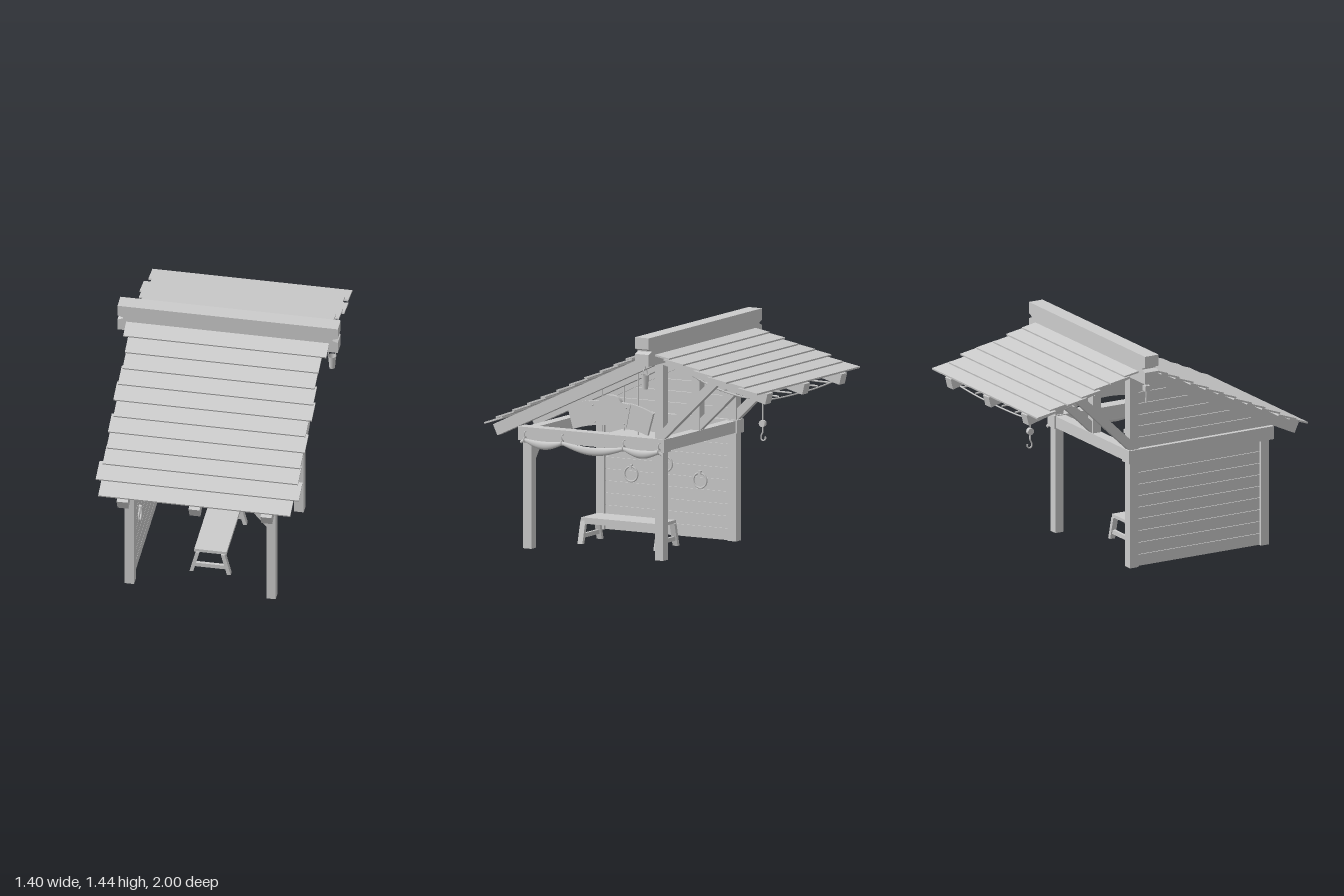
import * as THREE from 'three';

const material = new THREE.MeshStandardMaterial({ color: 0xcccccc, flatShading: true, side: THREE.DoubleSide });
const smooth = new THREE.MeshStandardMaterial({ color: 0xcccccc, side: THREE.DoubleSide });

export function createModel() {
  const model = new THREE.Group();

  const add = (name, geometry, x = 0, y = 0, z = 0, mat = material) => {
    const mesh = new THREE.Mesh(geometry, mat);
    mesh.name = name;
    mesh.position.set(x, y, z);
    model.add(mesh);
    return mesh;
  };
  // Box given by its minimum and maximum on each axis
  const box = (name, x0, x1, y0, y1, z0, z1) =>
    add(name, new THREE.BoxGeometry(x1 - x0, y1 - y0, z1 - z0), (x0 + x1) / 2, (y0 + y1) / 2, (z0 + z1) / 2);
  // Sloping timber in the z-y plane, from [z, y] to [z, y]
  const timber = (name, x, [z0, y0], [z1, y1], width, depth) => {
    const mesh = add(name, new THREE.BoxGeometry(width, depth, Math.hypot(z1 - z0, y1 - y0)), x, (y0 + y1) / 2, (z0 + z1) / 2);
    mesh.rotation.x = -Math.atan2(y1 - y0, z1 - z0);
  };
  const rope = (name, points, radius = 0.005, steps = 20) =>
    add(name, new THREE.TubeGeometry(new THREE.CatmullRomCurve3(points.map(p => new THREE.Vector3(...p))), steps, radius, 6), 0, 0, 0, smooth);
  // Outline of [z, y] points extruded along x
  const sidePanel = (name, shape, x, thickness) => {
    const geometry = new THREE.ExtrudeGeometry(shape, { depth: thickness, bevelEnabled: false, curveSegments: 10 });
    geometry.rotateY(-Math.PI / 2);
    return add(name, geometry, x + thickness / 2, 0, 0);
  };

  // Posts and side beams
  for (const side of [-1, 1]) {
    const x = side * 0.45;
    box('frontPost', x - 0.03, x + 0.03, 0, 0.7, 0.73, 0.79);
    box('backPost', x - 0.03, x + 0.03, 0, 1.28, -0.225, -0.165);
    box('sideBeam', x - 0.042, x + 0.042, 0.685, 0.77, -0.24, 0.82);
  }
  box('middlePost', -0.03, 0.03, 0.76, 1.28, -0.225, -0.165);
  box('frontCrossBeam', -0.45, 0.45, 0.69, 0.765, 0.725, 0.795);
  box('backCrossBeam', -0.45, 0.45, 0.69, 0.765, -0.23, -0.16);

  // Rafters and back braces
  for (const x of [-0.457, 0, 0.457]) {
    timber('frontRafter', x, [0.985, 0.735], [-0.19, 1.287], 0.07, 0.075);
    timber('backRafter', x, [-0.98, 1.085], [-0.21, 1.285], 0.07, 0.07);
    timber('backBrace', x, [-0.19, 0.77], [-0.6, 1.165], 0.045, 0.055);
  }

  // Corner brace on the front right post
  const brace = new THREE.Shape([[0.42, 0.545], [0.42, 0.61], [0.35, 0.69], [0.295, 0.69]].map(p => new THREE.Vector2(...p)));
  add('cornerBrace', new THREE.ExtrudeGeometry(brace, { depth: 0.045, bevelEnabled: false }), 0, 0, 0.74);

  // Overlapping roof boards
  const frontRoof = z => 0.77 + 0.47 * (1 - z);
  [0.61, 0.645, 0.62, 0.615, 0.625, 0.61, 0.63, 0.62, 0.61, 0.615, 0.645].forEach((half, i) => {
    const z = 0.995 - i * 0.1045, end = z - 0.132;
    timber('frontRoofBoard', 0, [z, frontRoof(z) + 0.021], [end, frontRoof(end) + 0.006], half * 2, 0.011);
  });
  const backRoof = z => 1.12 + 0.26 * (z + 0.99);
  [0.635, 0.61, 0.65, 0.635, 0.61, 0.63, 0.62].forEach((half, i) => {
    const z = -0.997 + i * 0.108, end = z + 0.14;
    timber('backRoofBoard', 0, [z, backRoof(z) + 0.018], [end, backRoof(end) + 0.005], half * 2, 0.011);
  });

  // Ridge beam with notched ends
  const ridge = new THREE.Shape([
    [-0.7, 1.26], [0.7, 1.26], [0.7, 1.335], [0.665, 1.348], [0.665, 1.355], [0.7, 1.368],
    [0.7, 1.44], [-0.7, 1.44], [-0.7, 1.368], [-0.665, 1.355], [-0.665, 1.348], [-0.7, 1.335],
  ].map(p => new THREE.Vector2(...p)));
  add('ridgeBeam', new THREE.ExtrudeGeometry(ridge, { depth: 0.1, bevelEnabled: false }), 0, 0, -0.25);

  // Boarded left wall, with the gable above cut to the roof slope
  const wallLines = [0, 0.077, 0.155, 0.232, 0.31, 0.385, 0.46, 0.535, 0.612, 0.69];
  for (let i = 0; i < wallLines.length - 1; i++) {
    box('wallBoard', -0.463, -0.437, wallLines[i] + 0.002, wallLines[i + 1] - 0.002, -0.17, 0.735);
  }
  box('wallBacking', -0.455, -0.445, 0, 0.69, -0.17, 0.735);
  const roofEdge = y => Math.min(0.82, 1 - (y - 0.73) / 0.47);
  for (let i = 0; i < 7; i++) {
    const y0 = 0.77 + i * 0.073, y1 = y0 + 0.07;
    const outline = [[-0.17, y0], [roofEdge(y0), y0], [roofEdge(y1), y1], [-0.17, y1]];
    sidePanel('gableBoard', new THREE.Shape(outline.map(p => new THREE.Vector2(...p))), -0.45, 0.026);
  }

  // Iron rings on the wall
  for (const [z, y] of [[0.54, 0.365], [0.29, 0.45], [0.04, 0.365]]) {
    add('wallRing', new THREE.TorusGeometry(0.047, 0.006, 8, 28), -0.428, y, z, smooth).rotation.y = Math.PI / 2;
    box('ringMount', -0.44, -0.418, y + 0.038, y + 0.06, z - 0.01, z + 0.01);
  }

  // Bench with splayed legs
  box('benchTop', -0.1, 0.15, 0.145, 0.165, 0.01, 0.575);
  model.children.at(-1).scale.x = 0.82;
  for (const z of [0, 0.55]) {
    for (const side of [-1, 1]) {
      const leg = new THREE.Shape([[0.107, 0], [0.131, 0], [0.093, 0.147], [0.068, 0.147]].map(([x, y]) => new THREE.Vector2(side * x, y)));
      add('benchLeg', new THREE.ExtrudeGeometry(leg, { depth: 0.036, bevelEnabled: false }), 0.025, 0, z);
    }
    box('benchStretcher', -0.083, 0.133, 0.035, 0.062, z + 0.008, z + 0.028);
  }
  for (const x of [-0.066, 0.116]) box('benchRail', x - 0.007, x + 0.007, 0.125, 0.147, 0.03, 0.555);

  // Hanging tray
  box('tray', -0.18, 0.17, 0.665, 0.69, 0.12, 0.46);
  for (const x of [-0.14, 0.13]) for (const z of [0.16, 0.42]) {
    rope('trayRope', [[x, 0.68, z], [x, frontRoof(z), z]], 0.004, 1);
  }

  // Fan-shaped sign on the right side
  const fan = new THREE.Shape();
  fan.moveTo(0.44, 0.78);
  fan.quadraticCurveTo(0.17, 0.87, -0.1, 0.78);
  fan.lineTo(-0.14, 0.92);
  fan.quadraticCurveTo(-0.07, 0.955, 0.02, 0.97);
  fan.lineTo(0.32, 0.97);
  fan.quadraticCurveTo(0.41, 0.955, 0.48, 0.92);
  sidePanel('signFan', fan, 0.45, 0.02);
  const crest = new THREE.Shape();
  crest.moveTo(0.29, 0.82);
  crest.quadraticCurveTo(0.17, 0.84, 0.05, 0.82);
  crest.lineTo(0.02, 0.965);
  crest.lineTo(0.09, 0.975);
  crest.quadraticCurveTo(0.11, 1.012, 0.15, 1.015);
  crest.lineTo(0.19, 1.015);
  crest.quadraticCurveTo(0.23, 1.012, 0.25, 0.975);
  crest.lineTo(0.32, 0.965);
  sidePanel('signCrest', crest, 0.45, 0.032);
  for (const side of [-1, 1]) for (const [dz, y] of [[0.105, 0.84], [0.122, 0.945]]) {
    add('signRivet', new THREE.SphereGeometry(0.006, 8, 6), 0.467, y, 0.17 + side * dz, smooth);
  }

  // Rolled cloth in swags along the right beam
  const hooks = [0.76, 0.49, 0.045, -0.21];
  for (let i = 0; i < 3; i++) {
    const span = hooks[i] - hooks[i + 1];
    const swag = new THREE.CylinderGeometry(1, 1, 1, 10, 16);
    const p = swag.attributes.position;
    for (let j = 0; j < p.count; j++) {
      const t = p.getY(j) + 0.5, sag = Math.sin(Math.PI * t);
      p.setXYZ(j, 0.507 + p.getX(j) * (0.009 + 0.007 * sag),
        0.69 - sag * (0.01 + 0.055 * span) + p.getZ(j) * (0.011 + 0.015 * sag), hooks[i + 1] + t * span);
    }
    swag.computeVertexNormals();
    add('clothSwag', swag, 0, 0, 0, smooth);
  }
  for (const z of hooks) {
    add('clothTie', new THREE.TorusGeometry(0.017, 0.004, 6, 14), 0.507, 0.695, z, smooth);
    rope('clothHook', [[0.49, 0.745, z], [0.512, 0.74, z], [0.512, 0.71, z]], 0.004, 8);
  }
  for (const [z, dz] of [[0.76, 0.03], [-0.21, -0.025]]) rope('clothTail', [[0.507, 0.69, z], [0.507, 0.675, z + dz]], 0.01, 4);

  // Sagging net below the back roof
  const net = [[-0.27, 1.24], [-0.45, 1.15], [-0.6, 1.1], [-0.76, 1.07], [-0.92, 1.065]];
  for (let i = 0; i < 6; i++) {
    const x = -0.4 + i * 0.16;
    rope('netRope', net.map(([z, y]) => [x, y, z]), 0.006);
  }
  for (const [z, y] of net) rope('netCrossRope', [[-0.42, y, z], [-0.2, y - 0.012, z], [0.2, y - 0.012, z], [0.42, y, z]], 0.005);

  // Pulley and hook on a hanging rope
  rope('hoistRope', [[0, 1.15, -0.665], [0, 0.86, -0.665]], 0.005, 1);
  add('pulley', new THREE.CylinderGeometry(0.022, 0.022, 0.025, 14), 0, 0.84, -0.665).rotation.z = Math.PI / 2;
  rope('hoistHook', [[0, 0.82, -0.665], [0, 0.785, -0.665], [0, 0.765, -0.655], [0, 0.74, -0.655], [0, 0.732, -0.67], [0, 0.745, -0.685], [0, 0.76, -0.684]], 0.005);

  // Bucket hung from the right end of the ridge
  add('bucket', new THREE.CylinderGeometry(0.026, 0.018, 0.09, 12, 1, true), 0.655, 1.155, -0.198, smooth);
  add('bucketBase', new THREE.CylinderGeometry(0.018, 0.018, 0.006, 12), 0.655, 1.113, -0.198);
  rope('bucketHandle', [[0.629, 1.2, -0.198], [0.64, 1.235, -0.198], [0.67, 1.235, -0.198], [0.681, 1.2, -0.198]], 0.003);
  rope('bucketHook', [[0.655, 1.27, -0.198], [0.655, 1.235, -0.198]], 0.005, 2);

  // Pegs at the left end of the roof
  box('ridgePeg', -0.65, -0.615, 1.195, 1.23, -0.215, -0.18);
  rope('pegCord', [[-0.632, 1.265, -0.198], [-0.632, 1.2, -0.198], [-0.628, 1.12, -0.198]], 0.007, 6);

  return model;
}
